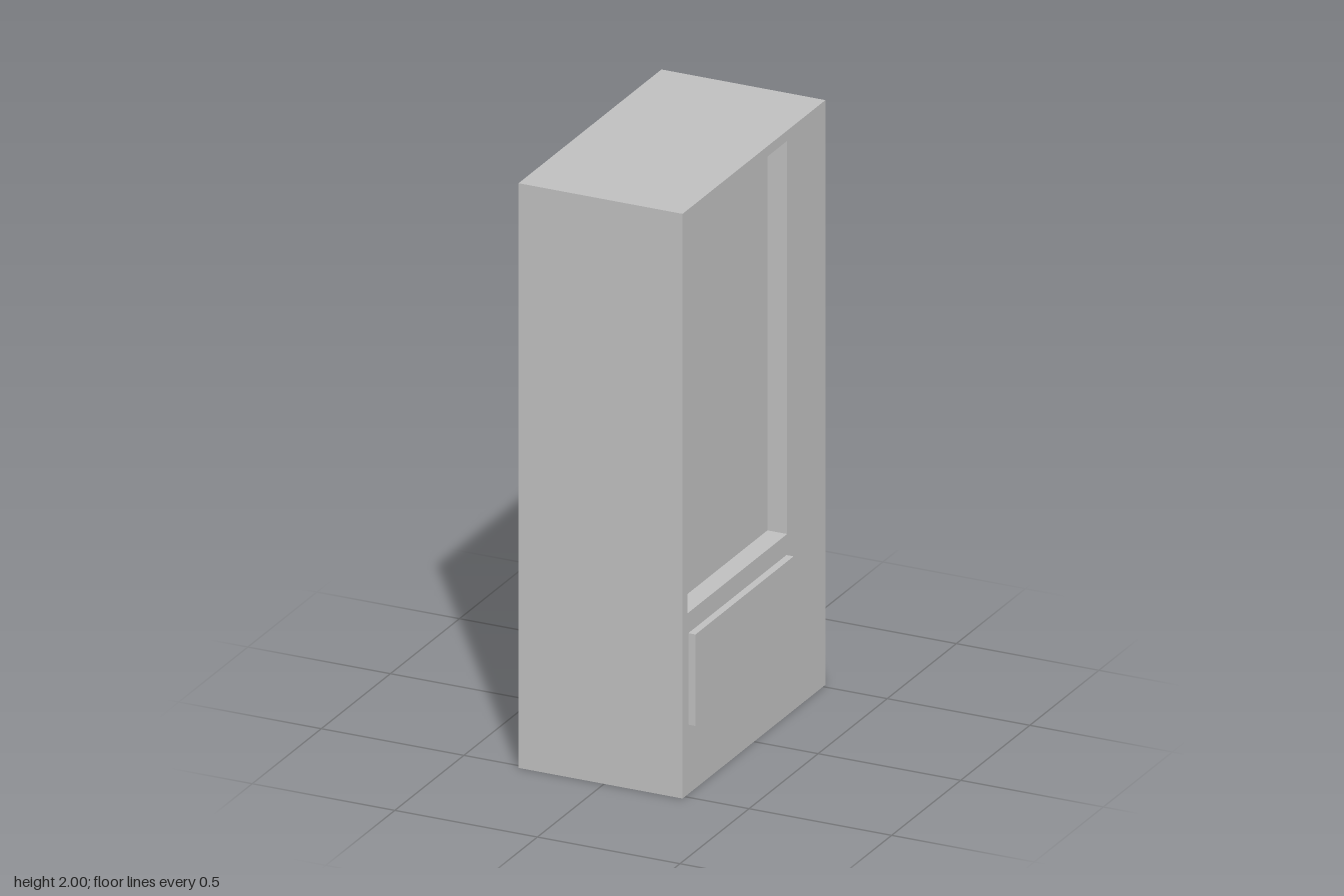
import * as THREE from 'three';

// Main extents
const BACK = -0.3, FACE = 0.275, HEIGHT = 2, HALF = 0.517;
const RECESS = { x0: 0.206, x1: FACE, y0: 0.62, y1: 1.965, z0: -0.24, z1: 0.48 };
const PANEL = { x0: FACE, x1: 0.3, y0: 0.237, y1: 0.55, z0: -0.235, z1: 0.475 };

// Box given by its limits
function boxBetween({ x0, x1, y0, y1, z0, z1 }) {
  return new THREE.BoxGeometry(x1 - x0, y1 - y0, z1 - z0)
    .translate((x0 + x1) / 2, (y0 + y1) / 2, (z0 + z1) / 2);
}

// Box without its +x side; inward turns it into a hollow
function openBox(limits, inward = false) {
  const geometry = boxBetween(limits);
  const index = Array.from(geometry.index.array).slice(6);
  geometry.clearGroups();
  geometry.setIndex(inward ? index.reverse() : index);
  geometry.computeVertexNormals();
  return geometry;
}

// Rectangle in the (-z, y) plane
function rectangle(path, z0, z1, y0, y1) {
  path.moveTo(-z1, y0);
  path.lineTo(-z0, y0);
  path.lineTo(-z0, y1);
  path.lineTo(-z1, y1);
  path.closePath();
  return path;
}

export function createModel() {
  const model = new THREE.Group();
  model.name = 'cabinet';
  const grey = new THREE.MeshStandardMaterial({ color: 0xc0c0c0 });
  grey.name = 'light grey';

  const add = (name, geometry) => {
    const mesh = new THREE.Mesh(geometry, grey);
    mesh.name = name;
    model.add(mesh);
  };

  // Cabinet shell, open on the working side
  add('cabinetShell', openBox({ x0: BACK, x1: FACE, y0: 0, y1: HEIGHT, z0: -HALF, z1: HALF }));

  // Working side with the window opening
  const face = rectangle(new THREE.Shape(), -HALF, HALF, 0, HEIGHT);
  face.holes.push(rectangle(new THREE.Path(), RECESS.z0, RECESS.z1, RECESS.y0, RECESS.y1));
  add('cabinetFace', new THREE.ShapeGeometry(face).rotateY(Math.PI / 2).translate(FACE, 0, 0));

  // Sunken display window
  add('windowRecess', openBox(RECESS, true));

  // Raised lower panel
  add('lowerPanel', boxBetween(PANEL));

  return model;
}
